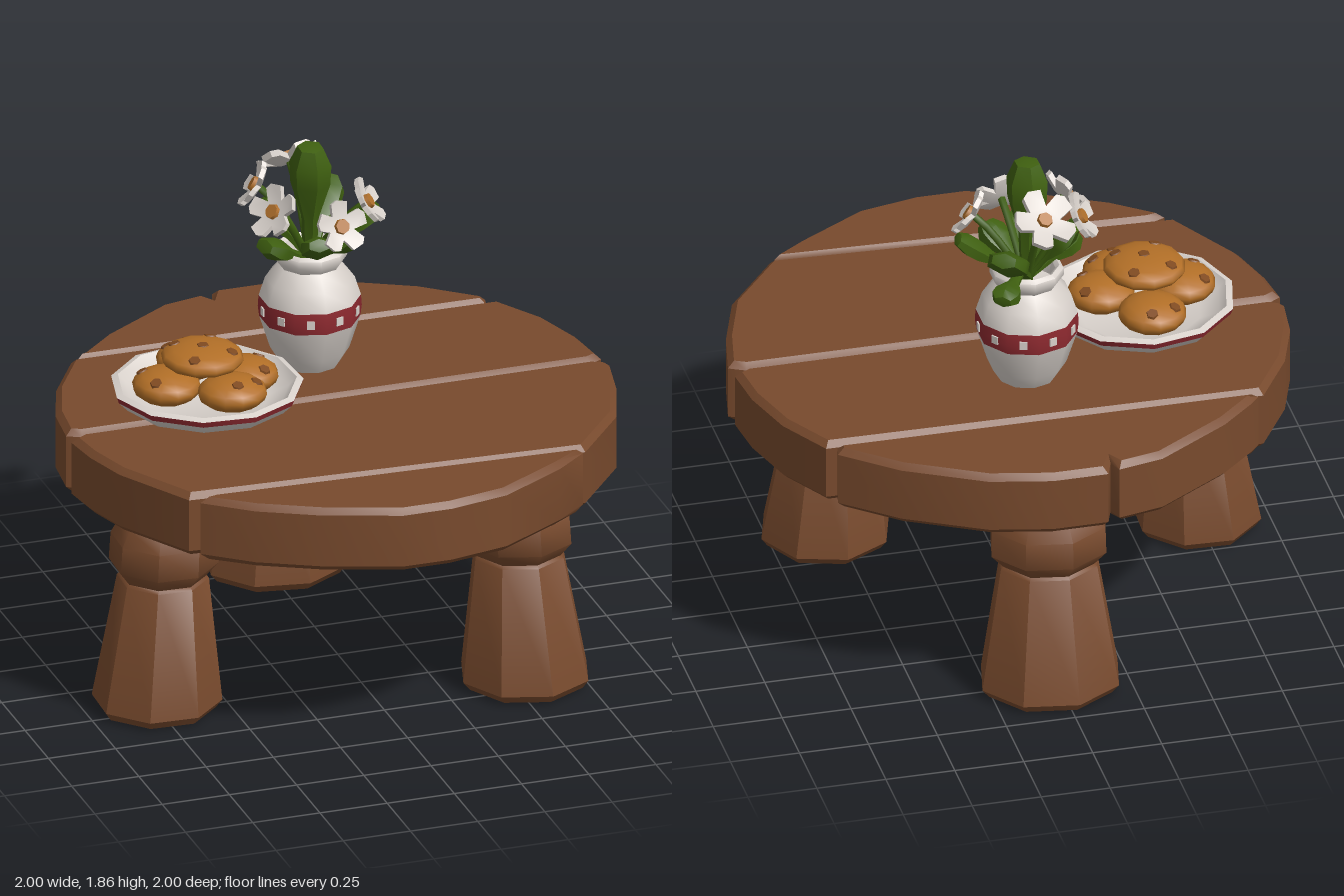
import * as THREE from 'three';
import { toCreasedNormals } from 'three/addons/utils/BufferGeometryUtils.js';

const mat = (name, color, side = THREE.FrontSide) => {
  const m = new THREE.MeshStandardMaterial({ color, side });
  m.name = name;
  return m;
};
const Y = new THREE.Vector3(0, 1, 0);
const Z = new THREE.Vector3(0, 0, 1);
const vec = (a) => new THREE.Vector3(...a);

export function createModel() {
  const wood = mat('wood', 0x784a2d);
  const white = mat('glazedWhite', 0xd9d2cc, THREE.DoubleSide);
  const red = mat('redGlaze', 0x8f2a30, THREE.DoubleSide);
  const green = mat('leafGreen', 0x3f6010);
  const dough = mat('cookieDough', 0xb26f27);
  const chip = mat('cookieChip', 0x7f4a20);
  const pollen = mat('flowerCentre', 0xb0702c);

  const model = new THREE.Group();
  model.name = 'tableWithCookiesAndFlowers';
  const add = (parent, name, geo, material) => {
    const m = new THREE.Mesh(geo, material);
    m.name = name;
    parent.add(m);
    return m;
  };
  const group = (parent, name, x = 0, y = 0, z = 0) => {
    const g = new THREE.Group();
    g.name = name;
    g.position.set(x, y, z);
    parent.add(g);
    return g;
  };
  const lathe = (profile, sides, crease = 0.9) => toCreasedNormals(
    new THREE.LatheGeometry(profile.map(([r, y]) => new THREE.Vector2(r, y)), sides), crease);

  // Table top: four bevelled planks, outlines as [x, z]
  const planks = [
    [[-0.76, -0.615], [-0.73, -0.65], [-0.6, -0.77], [-0.33, -0.945], [-0.165, -0.98], [-0.145, -0.93],
      [-0.12, -1], [0.08, -1], [0.3, -0.95], [0.58, -0.8], [0.77, -0.64], [0.76, -0.595]],
    [[-0.74, -0.61], [-0.78, -0.61], [-0.91, -0.4], [-0.98, -0.2], [-1, -0.03], [-0.95, -0.004],
      [0.94, -0.004], [0.99, -0.03], [0.97, -0.2], [0.91, -0.4], [0.8, -0.59]],
    [[-0.95, 0], [-1, 0.03], [-0.98, 0.17], [-0.93, 0.34], [-0.77, 0.625], [-0.7, 0.63],
      [0.68, 0.695], [0.88, 0.45], [0.96, 0.22], [1, 0.03], [0.94, 0]],
    [[-0.68, 0.634], [-0.74, 0.66], [-0.58, 0.79], [-0.37, 0.9], [-0.1, 0.995], [0.08, 0.995],
      [0.3, 0.95], [0.55, 0.8], [0.67, 0.7]],
  ];
  const top = group(model, 'tableTop');
  const bevel = 0.022;
  planks.forEach((outline, i) => {
    const shape = new THREE.Shape(outline.map(([x, z]) => new THREE.Vector2(x, -z)));
    const geo = new THREE.ExtrudeGeometry(shape, {
      depth: 0.24 - 2 * bevel, bevelEnabled: true, bevelSize: bevel,
      bevelThickness: bevel, bevelOffset: -bevel, bevelSegments: 1,
    });
    geo.rotateX(-Math.PI / 2).translate(0, 0.76 + bevel, 0);
    add(top, 'plank' + (i + 1), toCreasedNormals(geo, 0.5), wood);
  });

  // Legs: eight-sided, flared foot, collar and neck, leaning slightly outward
  const legProfile = [[0, 0], [0.215, 0.005], [0.238, 0.035], [0.168, 0.495], [0.158, 0.505],
    [0.2, 0.555], [0.198, 0.655], [0.168, 0.712], [0.118, 0.715], [0.138, 0.79], [0, 0.79]];
  const legs = [
    ['leftFrontLeg', 0.55, 0.425, 0.1, 1, 1],
    ['rightFrontLeg', -0.745, 0.205, 0.35, 0.97, 0.97],
    ['backLeg', 0.03, -0.755, 0.2, 1.1, 0.97],
  ];
  for (const [name, x, z, turn, sx, sz] of legs) {
    const geo = lathe(legProfile, 8, 0.7).rotateY(turn);
    const p = geo.attributes.position;
    for (let i = 0; i < p.count; i++) {
      const lean = 1 - 0.07 * p.getY(i);
      p.setX(i, p.getX(i) * sx + x * lean);
      p.setZ(i, p.getZ(i) * sz + z * lean);
    }
    add(model, name, toCreasedNormals(geo, 0.7), wood);
  }

  // Plate: white dish with a red rim band
  const plate = group(model, 'plate', -0.473, 1, -0.04);
  plate.rotation.y = 0.2;
  add(plate, 'dishUnderside', lathe([[0, 0.001], [0.2, 0.003], [0.3, 0.045], [0.334, 0.08]], 11), white);
  add(plate, 'rimBand', lathe([[0.334, 0.08], [0.342, 0.102]], 11), red);
  add(plate, 'dishInside', lathe([[0.342, 0.102], [0.318, 0.11], [0.29, 0.08], [0.22, 0.045], [0, 0.04]], 11), white);

  // Cookies: [x, y, z, radius x, half height, radius z, chip offsets]
  const cookies = [
    [-0.48, 1.125, -0.2, 0.122, 0.06, 0.125, [[0.02, -0.08], [-0.07, -0.05]]],
    [-0.63, 1.125, -0.02, 0.122, 0.06, 0.13, [[-0.06, 0.06], [-0.07, -0.06]]],
    [-0.34, 1.125, -0.02, 0.122, 0.06, 0.12, [[0.05, 0.07], [0.07, -0.05]]],
    [-0.43, 1.125, 0.11, 0.125, 0.06, 0.12, [[0, 0.06], [0.08, 0.03]]],
    [-0.495, 1.213, -0.025, 0.147, 0.048, 0.155, [[0, 0.005], [0.06, -0.09], [-0.08, -0.07], [-0.06, 0.09], [0.09, 0.06]]],
  ];
  cookies.forEach(([x, y, z, rx, h, rz, chips], i) => {
    const g = group(model, 'cookie' + (i + 1), x, y, z);
    add(g, 'dough', new THREE.SphereGeometry(1, 12, 8).scale(rx, h, rz), dough);
    for (const [cx, cz] of chips) {
      const cy = h * Math.sqrt(1 - (cx / rx) ** 2 - (cz / rz) ** 2);
      const c = add(g, 'chip', new THREE.CylinderGeometry(0.02, 0.024, 0.009, 6), chip);
      c.position.set(cx, cy - 0.002, cz);
      c.quaternion.setFromUnitVectors(Y,
        new THREE.Vector3(cx / rx ** 2, cy / h ** 2, cz / rz ** 2).normalize());
    }
  });

  // Vase: white body, red belt with small white squares
  const vase = group(model, 'vase', 0, 1, -0.3);
  add(vase, 'lowerBody', lathe([[0, 0.001], [0.105, 0.003], [0.14, 0.06], [0.178, 0.18]], 10), white);
  add(vase, 'belt', lathe([[0.178, 0.18], [0.183, 0.22], [0.18, 0.26]], 10), red);
  add(vase, 'upperBody', lathe([[0.18, 0.26], [0.158, 0.33], [0.112, 0.385], [0.132, 0.415], [0.13, 0.44],
    [0.115, 0.452], [0.1, 0.44], [0.095, 0.38], [0, 0.36]], 10), white);
  for (let i = 0; i < 10; i++) {
    const a = (i + 0.5) * Math.PI / 5;
    const s = add(vase, 'beltSquare', new THREE.BoxGeometry(0.028, 0.03, 0.008), white);
    s.position.set(Math.sin(a) * 0.174, 0.22, Math.cos(a) * 0.174);
    s.rotation.y = a;
  }

  // Leaves: flattened club shapes growing from the vase mouth
  const bouquet = group(model, 'bouquet');
  const leaf = (base, tip, width, thick) => {
    const from = vec(base), dir = vec(tip).sub(from), len = dir.length();
    const geo = lathe([[0, 0], [0.3, 0.02], [0.42, 0.4], [0.95, 0.68], [1, 0.84], [0.62, 0.98], [0, 1]], 6, 0.8)
      .scale(width, len, thick);
    const y = dir.normalize();
    const x = new THREE.Vector3().crossVectors(y, Math.abs(y.y) > 0.95 ? Z : Y).normalize();
    const z = new THREE.Vector3().crossVectors(x, y);
    geo.applyMatrix4(new THREE.Matrix4().makeBasis(x, y, z).setPosition(from));
    add(bouquet, 'leaf', toCreasedNormals(geo, 0.8), green);
  };
  leaf([0, 1.38, -0.3], [-0.01, 1.855, -0.265], 0.075, 0.08);
  leaf([0, 1.4, -0.3], [0.14, 1.61, -0.52], 0.08, 0.045);
  leaf([0.05, 1.5, -0.42], [0.16, 1.48, -0.585], 0.055, 0.035);
  leaf([0, 1.4, -0.3], [-0.2, 1.51, -0.22], 0.07, 0.04);
  leaf([0, 1.4, -0.3], [0.25, 1.58, -0.28], 0.06, 0.035);
  leaf([0, 1.4, -0.3], [-0.04, 1.55, -0.08], 0.065, 0.04);
  leaf([0, 1.4, -0.3], [-0.16, 1.62, -0.36], 0.07, 0.04);
  leaf([0, 1.4, -0.3], [0.11, 1.54, -0.13], 0.06, 0.04);

  // Flowers: five blunt petals, slightly cupped, round centre and a stem
  const petals = new THREE.Shape();
  for (let i = 0; i < 5; i++) {
    [[0.5, -0.63], [0.96, -0.34], [1, 0.1], [0.92, 0.36]].forEach(([r, t], k) => {
      const a = i * Math.PI * 0.4 + t + Math.PI / 2;
      petals[i + k ? 'lineTo' : 'moveTo'](Math.cos(a) * r, Math.sin(a) * r);
    });
  }
  const flower = (pos, facing, radius) => {
    const at = vec(pos), dir = vec(facing).normalize();
    const g = group(bouquet, 'flower', ...pos);
    g.quaternion.setFromUnitVectors(Z, dir);
    const geo = new THREE.ExtrudeGeometry(petals, { depth: 0.2, bevelEnabled: false });
    const p = geo.attributes.position;
    for (let i = 0; i < p.count; i++) {
      p.setZ(i, p.getZ(i) + 0.25 * (p.getX(i) ** 2 + p.getY(i) ** 2) - 0.2);
    }
    geo.scale(radius, radius, radius);
    add(g, 'petals', toCreasedNormals(geo, 0.5), white);
    add(g, 'centre', new THREE.CylinderGeometry(0.026, 0.03, 0.02, 7).rotateX(Math.PI / 2), pollen)
      .position.z = radius * 0.1;
    const path = new THREE.QuadraticBezierCurve3(vec([0, 1.38, -0.3]),
      at.clone().addScaledVector(dir, -0.1), at.clone().addScaledVector(dir, -0.01));
    add(bouquet, 'stem', new THREE.TubeGeometry(path, 5, 0.014, 5), green);
  };
  flower([-0.02, 1.72, -0.47], [-0.15, 0.8, -0.6], 0.115);
  flower([-0.17, 1.67, -0.39], [-0.8, 0.5, -0.3], 0.09);
  flower([-0.17, 1.65, -0.19], [-0.75, 0.55, 0.35], 0.1);
  flower([0.04, 1.61, -0.08], [0.1, 0.45, 0.9], 0.095);
  flower([0.18, 1.63, -0.21], [0.75, 0.55, 0.35], 0.09);

  return model;
}
